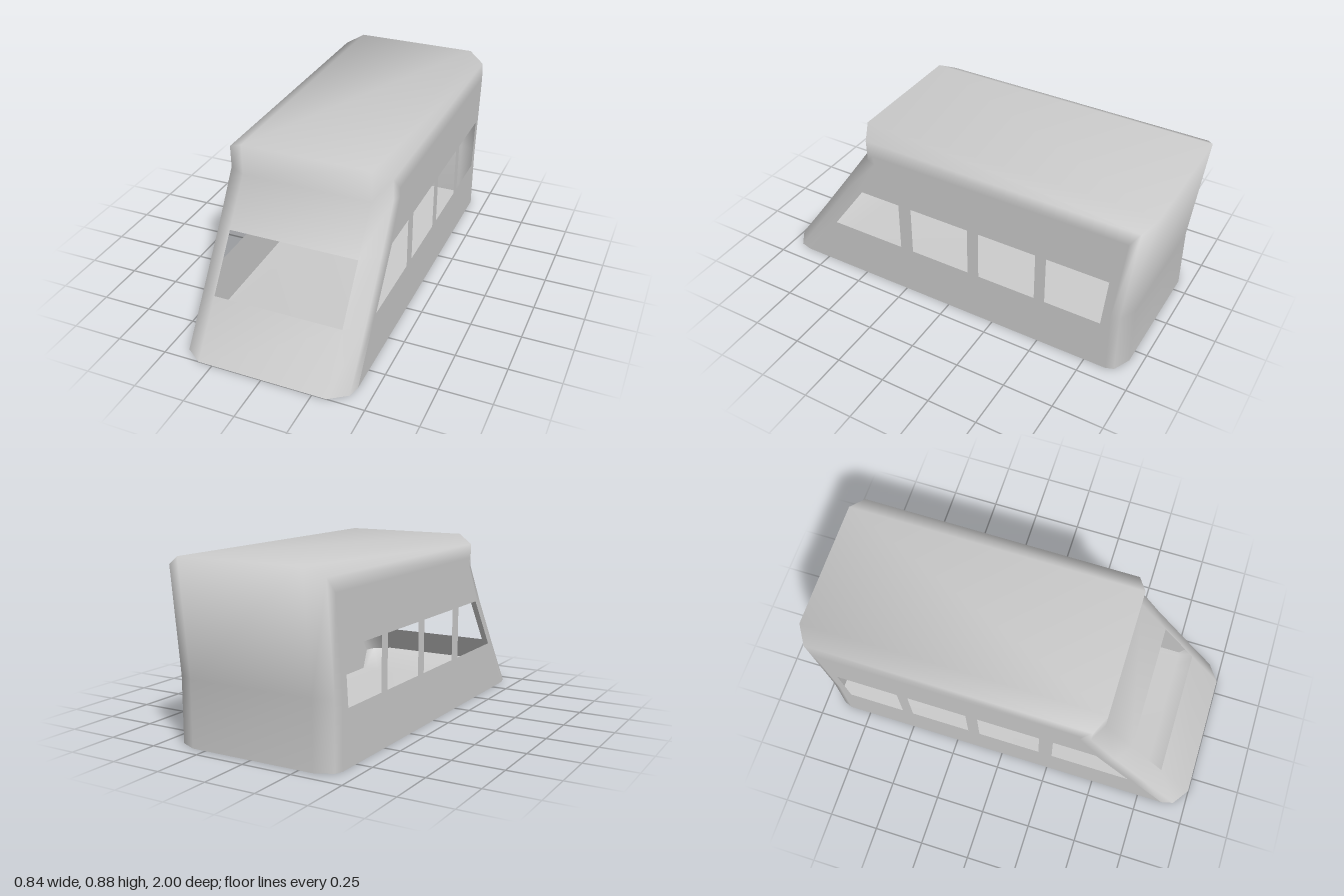
import * as THREE from 'three';

const material = new THREE.MeshStandardMaterial({ color: 0xcccccc, side: THREE.DoubleSide });

// Lengthwise outline [z, y, inset weight], from nose tip over the roof to the rear
const outline = [
  [1, 0, 1], [0.82, 0.25, 1], [0.64, 0.505, 1], [0.49, 0.72, 0.8], [0.49, 0.875, 0.75],
  [-1, 0.875, -0.75], [-0.94, 0.32, -0.66], [-0.94, 0, -0.66],
];
// Columns across the body: x, how far the ends pull in, how far the roof drops
const half = [[0.32, 0, 0], [0.405, 0.06, 0.045], [0.42, 0.12, 0.11]];
const columns = [...half.map(([x, d, t]) => [-x, d, t]).reverse(), ...half];

const profile = ([, d, t]) =>
  outline.map(([z, y, w]) => [z - w * d, y > 0.8 ? y - t : y]);

// Surface across the columns; skip(c, p) leaves an opening
function loft(name, section, skip = () => false) {
  const pos = [], index = [];
  const n = section(columns[0]).length;
  for (const col of columns) for (const [z, y] of section(col)) pos.push(col[0], y, z);
  for (let c = 0; c < columns.length - 1; c++) {
    for (let p = 0; p < n - 1; p++) {
      if (skip(c, p)) continue;
      const a = c * n + p, b = a + n;
      index.push(a, b, b + 1, a, b + 1, a + 1);
    }
  }
  const geo = new THREE.BufferGeometry();
  geo.setAttribute('position', new THREE.Float32BufferAttribute(pos, 3));
  geo.setIndex(index);
  geo.computeVertexNormals();
  const mesh = new THREE.Mesh(geo, material);
  mesh.name = name;
  return mesh;
}

// Side window corners [z, y]; the end windows follow the slanted ends
const low = 0.265, high = 0.525;
const windows = [
  [0.67, 0.485, 0.27, 0.27], [0.2, 0.2, -0.115, -0.115],
  [-0.175, -0.175, -0.475, -0.475], [-0.53, -0.53, -0.84, -0.815],
].map(([a, b, c, d]) => [[a, low], [b, high], [c, high], [d, low]]);

function sidePanel(name, s) {
  const points = (list) => list.map(([z, y]) => new THREE.Vector2(-s * z, y));
  const shape = new THREE.Shape(points(profile(half[2])));
  for (const w of windows) shape.holes.push(new THREE.Path(points(w)));
  const geo = new THREE.ShapeGeometry(shape);
  geo.rotateY(s * Math.PI / 2);
  geo.translate(s * 0.42, 0, 0);
  const mesh = new THREE.Mesh(geo, material);
  mesh.name = name;
  return mesh;
}

export function createModel() {
  const group = new THREE.Group();
  group.name = 'vehicleCabin';

  // Nose, roof and rear in one shell, open at the windscreen
  const shell = loft('shell', profile, (c, p) => c === 2 && p === 1);
  const normal = shell.geometry.attributes.normal;
  const n = outline.length;
  for (let p = 1; p < n; p++) { // blend into the flat sides
    normal.setXYZ(p, -1, 0, 0);
    normal.setXYZ(5 * n + p, 1, 0, 0);
  }
  group.add(shell);

  // Flat sides with four windows each
  group.add(sidePanel('leftSide', 1), sidePanel('rightSide', -1));

  // Floor, rising to meet the nose; runs rear to front so it faces down
  group.add(loft('floor', ([, d]) => [
    [-0.94 + 0.66 * d, 0.005], [0.76, 0.005], [0.92 - d, 0.11],
  ]));
  return group;
}
